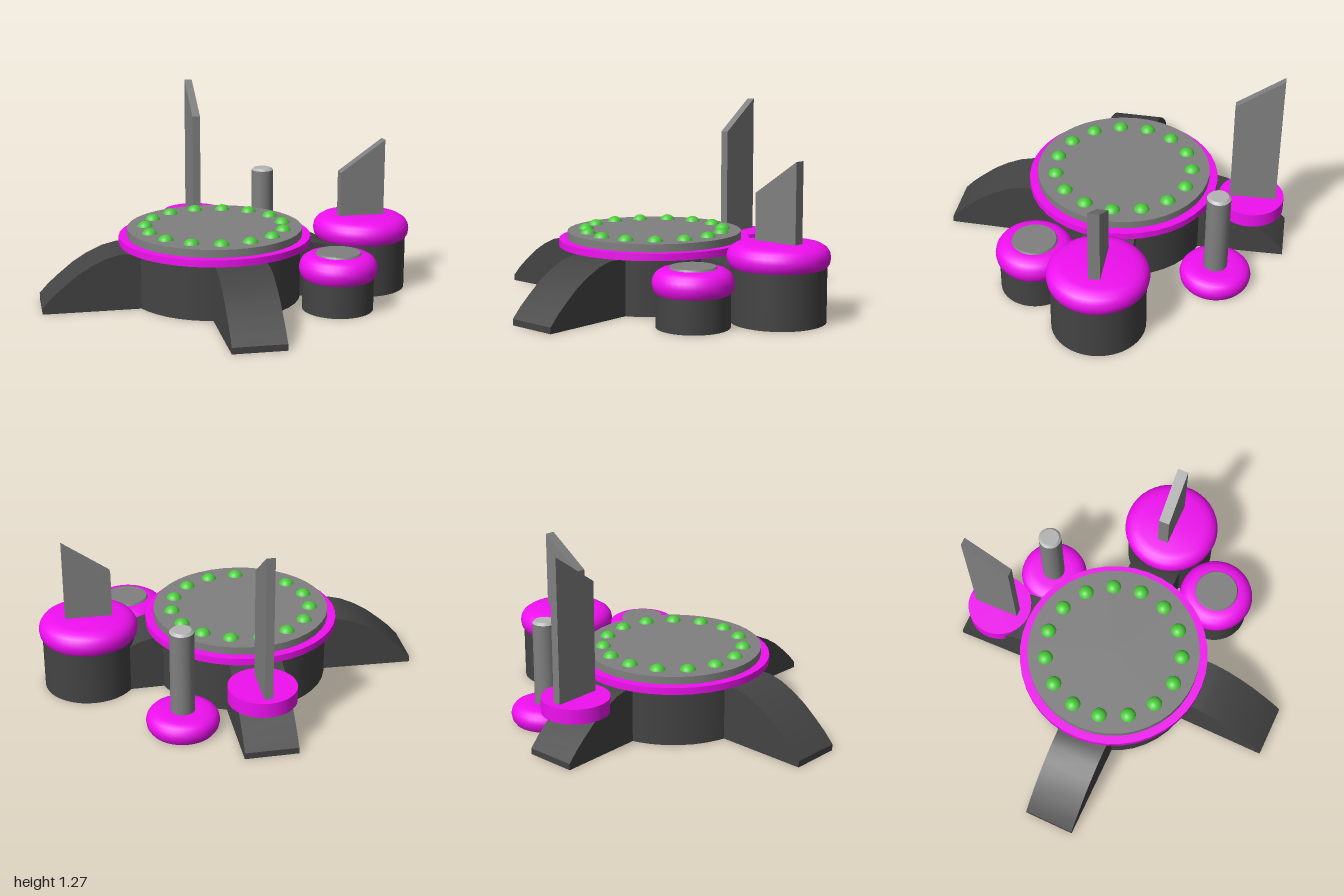
import * as THREE from 'three';
import { toCreasedNormals } from 'three/addons/utils/BufferGeometryUtils.js';

const mat = (color) => new THREE.MeshStandardMaterial({ color });

export function createModel() {
  const model = new THREE.Group();
  const dark = mat(0x444444), grey = mat(0x808080), light = mat(0xb4b4b4);
  const magenta = mat(0xf010f0), green = mat(0x4ccc3c);

  const add = (name, geometry, material, x = 0, y = 0, z = 0, parent = model) => {
    const mesh = new THREE.Mesh(geometry, material);
    mesh.name = name;
    mesh.position.set(x, y, z);
    parent.add(mesh);
    return mesh;
  };

  // Upright cylinder spanning y0..y1
  const drum = (name, r, y0, y1, material, x, z, rTop = r) =>
    add(name, new THREE.CylinderGeometry(rTop, r, y1 - y0, 40), material, x, (y0 + y1) / 2, z);

  // Turned part from [radius, height] points, listed bottom to top
  const turned = (name, points, material, x, z) => {
    const g = new THREE.LatheGeometry(points.map(([r, y]) => new THREE.Vector2(r, y)), 40);
    return add(name, toCreasedNormals(g, 0.7), material, x, 0, z);
  };

  // Side outline extruded to a width, turned so its +x points along angle (x towards z)
  const plate = (name, points, width, angle, material, x, z) => {
    const shape = new THREE.Shape(points.map(([u, v]) => new THREE.Vector2(u, v)));
    const g = new THREE.ExtrudeGeometry(shape, { depth: width, bevelEnabled: false });
    g.translate(0, 0, -width / 2);
    const mesh = add(name, toCreasedNormals(g, 0.5), material, x, 0, z);
    mesh.rotation.y = -THREE.MathUtils.degToRad(angle);
    return mesh;
  };

  // Round main body with rim and deck
  const cx = -0.084, cz = 0.054;
  drum('body', 0.56, 0, 0.365, dark, cx, cz);
  drum('rim', 0.625, 0.365, 0.41, magenta, cx, cz);
  drum('deck', 0.57, 0.41, 0.46, grey, cx, cz);

  // Ring of lights on the deck
  const lights = new THREE.Group();
  lights.name = 'lights';
  model.add(lights);
  const bulb = new THREE.SphereGeometry(0.054, 20, 14);
  for (let i = 0; i < 15; i++) {
    const a = THREE.MathUtils.degToRad(-91.5 + i * 24);
    add('light', bulb, green, cx + 0.453 * Math.cos(a), 0.44, cz + 0.453 * Math.sin(a), lights);
  }

  // Four curved legs, each placed by the middle of its outer end
  const legProfile = [
    [-0.8, 0], [0, 0], [0, 0.04], [-0.06, 0.105], [-0.13, 0.167], [-0.22, 0.24],
    [-0.31, 0.296], [-0.41, 0.342], [-0.5, 0.364], [-0.8, 0.364],
  ];
  for (const [name, x, z, angle] of [
    ['frontRightLeg', -0.888, 0.863, 137.5],
    ['frontLeftLeg', 0.728, 0.86, 47.8],
    ['backRightLeg', -0.83, -0.74, -134.5],
    ['backLeftLeg', 0.7, -0.71, -45],
  ]) plate(name, legProfile, 0.333, angle, dark, x, z);

  // Upright fin with a slanted top, high at its +x end
  const fin = (name, y0, low, high, thickness, angle, x, z) => plate(name,
    [[-0.15, y0], [0.15, y0], [0.15, high], [-0.15, low]], thickness, angle, grey, x, z);

  // Large turret with cushion cap and fin
  drum('largeTurret', 0.297, 0, 0.35, dark, 0.635, -0.64);
  turned('largeTurretCap', [
    [0, 0.34], [0.295, 0.34], [0.312, 0.365], [0.318, 0.4], [0.312, 0.432],
    [0.295, 0.458], [0.265, 0.477], [0.22, 0.487], [0, 0.488],
  ], magenta, 0.635, -0.64);
  fin('largeTurretFin', 0.45, 0.78, 0.99, 0.072, -43.6, 0.63, -0.64);

  // Small turret with cushion ring and chamfered plug
  drum('smallTurret', 0.227, 0, 0.22, dark, 0.74, -0.105);
  turned('smallTurretRing', [
    [0, 0.205], [0.225, 0.205], [0.243, 0.232], [0.25, 0.27], [0.243, 0.305],
    [0.225, 0.333], [0.195, 0.352], [0.155, 0.358], [0, 0.358],
  ], magenta, 0.74, -0.105);
  drum('smallTurretPlug', 0.15, 0.35, 0.37, grey, 0.74, -0.105, 0.138);

  // Raised disc with the tall fin
  drum('finDisc', 0.213, 0.26, 0.355, magenta, -0.657, -0.58);
  fin('tallFin', 0.3, 1.06, 1.275, 0.053, -133.9, -0.667, -0.585);

  // Rear post on a cushion base
  turned('postBase', [
    [0, 0], [0.205, 0], [0.222, 0.025], [0.229, 0.06], [0.222, 0.09],
    [0.205, 0.112], [0.17, 0.126], [0.13, 0.13], [0, 0.13],
  ], magenta, -0.2, -0.77);
  drum('post', 0.076, 0.12, 0.67, grey, -0.2, -0.77);
  drum('postTip', 0.076, 0.67, 0.685, light, -0.2, -0.77, 0.06);

  return model;
}
